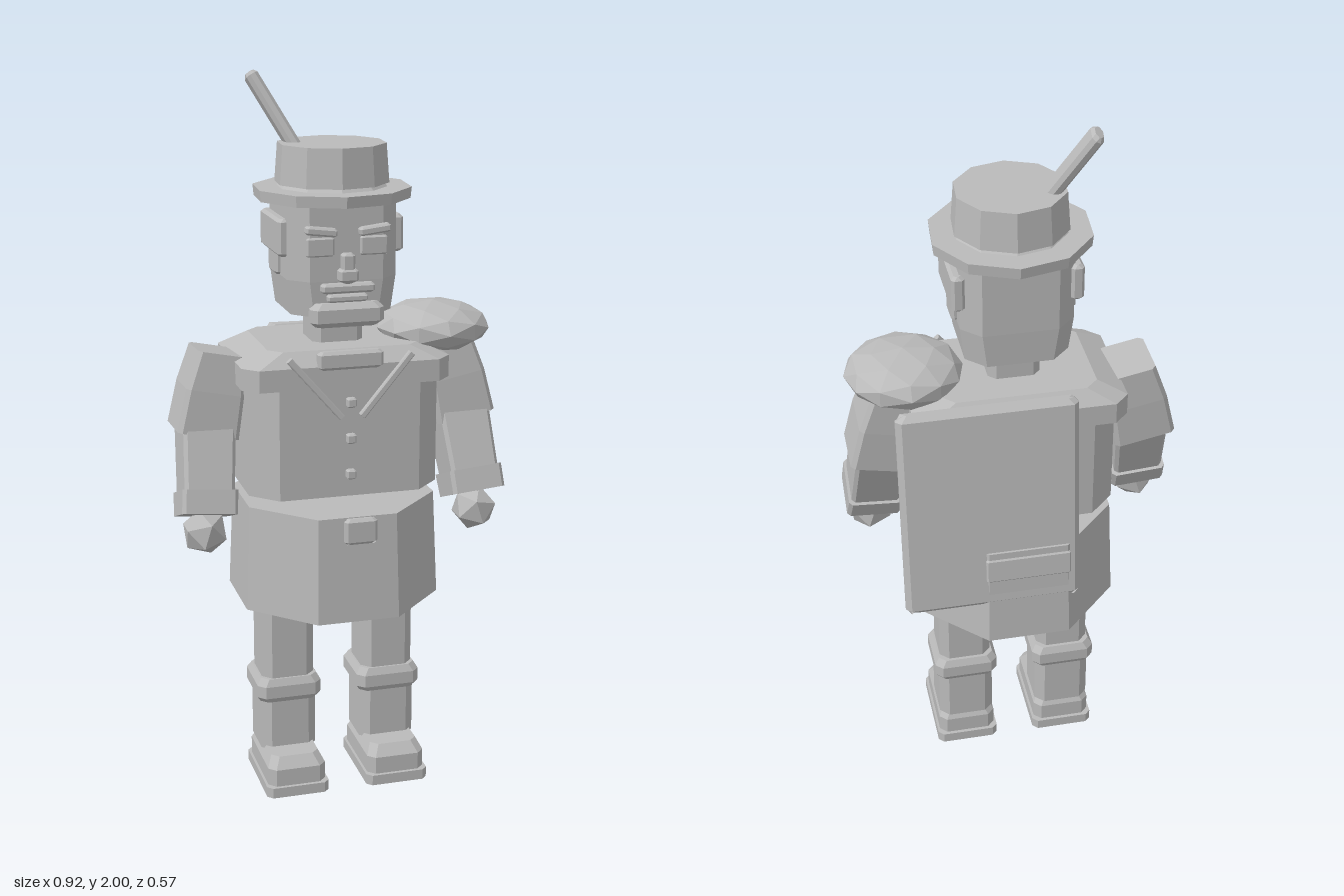
import * as THREE from 'three';

const grey = new THREE.MeshStandardMaterial({ color: 0xbababa });
grey.name = 'plain grey';
grey.flatShading = true;

// Stacks chamfered rectangles [y, halfWidth, halfDepth, chamfer, x, z] into a closed solid
function loft(sections) {
  const rings = sections.map(([y, w, d, c, x = 0, z = 0]) =>
    [[w, -d + c], [w, d - c], [w - c, d], [c - w, d], [-w, d - c], [-w, c - d], [c - w, -d], [w - c, -d]]
      .map(([px, pz]) => [px + x, y, pz + z]));
  const pos = [];
  const tri = (...pts) => pts.forEach(p => pos.push(...p));
  const last = rings.length - 1;
  for (let i = 0; i < 8; i++) {
    const j = (i + 1) % 8;
    for (let r = 0; r < last; r++) {
      const [a, b, c, d] = [rings[r][i], rings[r][j], rings[r + 1][j], rings[r + 1][i]];
      tri(a, d, c);
      tri(a, c, b);
    }
    if (i > 0 && i < 7) {
      tri(rings[0][0], rings[0][i], rings[0][j]);
      tri(rings[last][0], rings[last][j], rings[last][i]);
    }
  }
  const g = new THREE.BufferGeometry();
  g.setAttribute('position', new THREE.Float32BufferAttribute(pos, 3));
  g.computeVertexNormals();
  return g;
}

// Box with bevelled edges, centred on the origin
const block = (w, h, d, c = 0.008) => loft([
  [-h / 2, w / 2 - c, d / 2 - c, c], [-h / 2 + c, w / 2, d / 2, c],
  [h / 2 - c, w / 2, d / 2, c], [h / 2, w / 2 - c, d / 2 - c, c]]);

function add(parent, name, geometry, x = 0, y = 0, z = 0) {
  const m = new THREE.Mesh(geometry, grey);
  m.name = name;
  m.position.set(x, y, z);
  parent.add(m);
  return m;
}

// Places a geometry at point a with its +y axis running towards point b
function aim(mesh, a, b) {
  const from = new THREE.Vector3(...a);
  const dir = new THREE.Vector3(...b).sub(from).normalize();
  mesh.position.copy(from);
  mesh.quaternion.setFromUnitVectors(new THREE.Vector3(0, 1, 0), dir);
}

function addLeg(parent, s) {
  const leg = new THREE.Group();
  leg.name = s > 0 ? 'leftLeg' : 'rightLeg';
  leg.position.x = 0.146 * s;
  parent.add(leg);
  add(leg, 'sole', loft([[0, 0.09, 0.135, 0.015, 0, 0.035], [0.03, 0.09, 0.135, 0.015, 0, 0.035]]));
  add(leg, 'shoe', loft([
    [0.03, 0.083, 0.125, 0.02, 0, 0.035], [0.08, 0.083, 0.125, 0.02, 0, 0.035],
    [0.11, 0.068, 0.105, 0.02, 0, 0.03]]));
  add(leg, 'shin', loft([[0.1, 0.08, 0.08, 0.026, 0, -0.01], [0.27, 0.08, 0.08, 0.026, 0, -0.01]]));
  add(leg, 'bootCuff', loft([
    [0.25, 0.083, 0.082, 0.02, 0, -0.01], [0.265, 0.092, 0.09, 0.02, 0, -0.01],
    [0.3, 0.092, 0.09, 0.02, 0, -0.01], [0.32, 0.08, 0.08, 0.02, 0, -0.01]]));
  add(leg, 'thigh', loft([[0.3, 0.075, 0.073, 0.025, 0, -0.008], [0.6, 0.075, 0.073, 0.025, 0, -0.008]]));
}

function addArm(parent, s) {
  const arm = new THREE.Group();
  arm.name = s > 0 ? 'leftArm' : 'rightArm';
  parent.add(arm);
  // Sleeve flares slightly towards the elbow
  const sleeve = add(arm, 'upperSleeve', loft([
    [0, 0.085, 0.085, 0.012], [0.12, 0.08, 0.083, 0.012], [0.225, 0.064, 0.075, 0.012]]));
  aim(sleeve, [0.366 * s, 1.047, -0.008], [0.322 * s, 1.265, -0.02]);
  const wrist = [0.381 * s, 0.845, 0.085], elbow = [0.358 * s, 1.1, -0.015];
  aim(add(arm, 'forearm', loft([[0.03, 0.068, 0.068, 0.01], [0.27, 0.073, 0.075, 0.01]])), wrist, elbow);
  aim(add(arm, 'sleeveCuff', loft([[-0.01, 0.076, 0.072, 0.01], [0.055, 0.076, 0.078, 0.01]])), wrist, elbow);
  const hand = add(arm, 'hand', new THREE.IcosahedronGeometry(0.065, 0), 0.386 * s, 0.79, 0.09);
  hand.rotation.z = 0.3 * s;
}

function addHead(parent) {
  const head = new THREE.Group();
  head.name = 'head';
  parent.add(head);
  add(head, 'neck', loft([[1.26, 0.07, 0.07, 0.02, 0, -0.01], [1.42, 0.07, 0.07, 0.02, 0, -0.01]]));
  add(head, 'skull', loft([
    [1.375, 0.138, 0.14, 0.05, 0, -0.01], [1.47, 0.15, 0.145, 0.05, 0, -0.01],
    [1.68, 0.15, 0.145, 0.05, 0, -0.01]]));
  add(head, 'chin', block(0.2, 0.065, 0.07, 0.015), 0, 1.38, 0.125);
  add(head, 'lowerLip', block(0.11, 0.02, 0.03, 0.005), 0, 1.425, 0.138);
  add(head, 'moustache', block(0.145, 0.025, 0.035, 0.006), 0, 1.453, 0.143);
  add(head, 'noseBridge', block(0.035, 0.08, 0.035, 0.006), 0, 1.505, 0.143);
  add(head, 'noseTip', block(0.052, 0.035, 0.04, 0.006), 0, 1.487, 0.145);
  for (const s of [-1, 1]) {
    add(head, 'eye', block(0.075, 0.05, 0.014, 0.004), 0.073 * s, 1.562, 0.137);
    const brow = add(head, 'brow', block(0.085, 0.022, 0.03, 0.005), 0.073 * s, 1.605, 0.145);
    brow.rotation.z = 0.12 * s;
    add(head, 'sideHair', block(0.035, 0.1, 0.21), 0.155 * s, 1.58, -0.02);
    add(head, 'ear', block(0.03, 0.08, 0.08), 0.15 * s, 1.51, -0.025);
  }
}

function addHat(parent) {
  const hat = new THREE.Group();
  hat.name = 'hat';
  hat.position.z = -0.015;
  hat.rotation.y = -0.08;
  parent.add(hat);
  const disc = (name, top, bottom, y0, y1) =>
    add(hat, name, new THREE.CylinderGeometry(top, bottom, y1 - y0, 10), 0, (y0 + y1) / 2, 0);
  disc('hatBrim', 0.215, 0.212, 1.67, 1.7);
  disc('hatBand', 0.135, 0.15, 1.7, 1.715);
  disc('hatCrown', 0.147, 0.155, 1.71, 1.815);
  const feather = add(parent, 'feather', loft([
    [0, 0.017, 0.027, 0.01], [0.25, 0.017, 0.027, 0.01], [0.26, 0.012, 0.02, 0.01]]));
  aim(feather, [-0.08, 1.775, -0.035], [-0.198, 1.99, -0.117]);
}

function addBody(parent) {
  add(parent, 'skirt', loft([[0.555, 0.275, 0.275, 0.161, 0, -0.01], [0.85, 0.263, 0.26, 0.154, 0, -0.01]]));
  add(parent, 'beltBuckle', block(0.09, 0.072, 0.024), 0, 0.82, 0.277);
  add(parent, 'torso', loft([[0.886, 0.265, 0.182, 0.07, 0, -0.007], [1.22, 0.265, 0.182, 0.07, 0, -0.007]]));
  add(parent, 'shoulderYoke', loft([
    [1.19, 0.288, 0.19, 0.04, 0, -0.014], [1.25, 0.288, 0.19, 0.04, 0, -0.014],
    [1.288, 0.21, 0.155, 0.035, 0, -0.014]]));
  add(parent, 'collar', block(0.18, 0.05, 0.03), 0, 1.265, 0.17);
  for (const y of [0.95, 1.05, 1.15]) add(parent, 'button', block(0.026, 0.026, 0.025, 0.004), 0, y, 0.182);
  for (const s of [-1, 1]) {
    const lapel = add(parent, 'lapel', loft([[0, 0.009, 0.009, 0.003], [0.215, 0.009, 0.009, 0.003]]));
    aim(lapel, [0.028 * s, 1.112, 0.188], [0.165 * s, 1.27, 0.178]);
  }
}

// Tilted slab on the back with a small raised flap
function addBackBoard(parent) {
  const board = new THREE.Group();
  board.name = 'backBoard';
  board.position.set(0.098, 0.982, -0.23);
  board.rotation.x = 0.1;
  parent.add(board);
  add(board, 'slab', block(0.485, 0.615, 0.04, 0.015));
  add(board, 'flap', block(0.235, 0.07, 0.016, 0.004), -0.098, -0.19, -0.022);
}

export function createModel() {
  const model = new THREE.Group();
  model.name = 'figure';
  for (const s of [-1, 1]) {
    addLeg(model, s);
    addArm(model, s);
  }
  addBody(model);
  addHead(model);
  addHat(model);
  addBackBoard(model);
  // Single shoulder guard on the left side
  const guard = add(model, 'shoulderGuard', new THREE.IcosahedronGeometry(1, 1), 0.288, 1.303, -0.01);
  guard.scale.set(0.16, 0.07, 0.16);
  return model;
}
